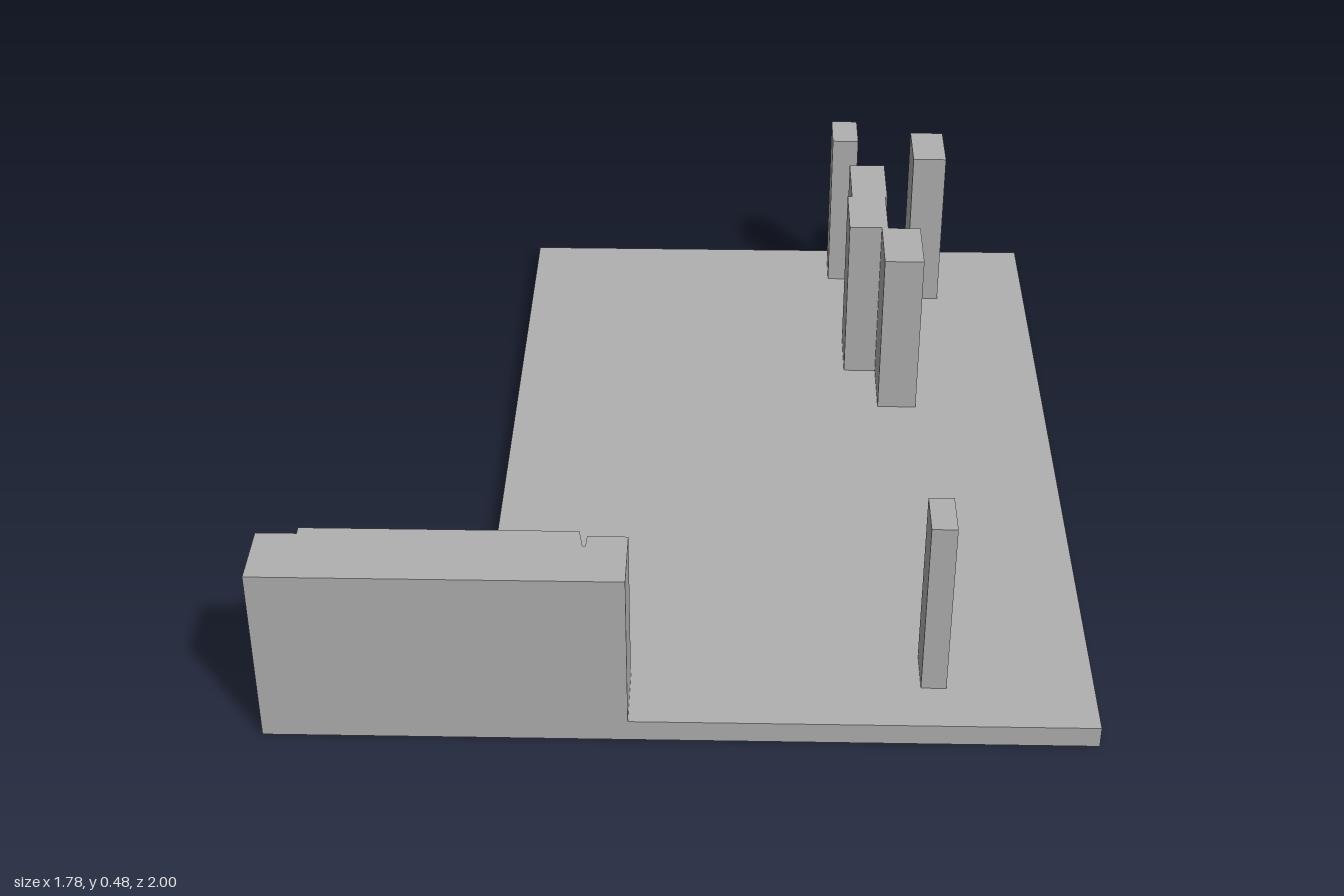
import * as THREE from 'three';

const grey = new THREE.MeshStandardMaterial({ color: 0xb0b0b0 });
grey.name = 'concrete grey';

// Floor-plan point (x, z) in shape space, so that extruding goes upward
const plan = (points) => points.map(([x, z]) => new THREE.Vector2(x, -z));
const rect = (x0, x1, z0, z1) => [[x0, z1], [x1, z1], [x1, z0], [x0, z0]];

// Raises a floor-plan outline, with optional holes, from y0 to y1
function prism(name, outline, y0, y1, holes = []) {
  const shape = new THREE.Shape(plan(outline));
  holes.forEach((h) => shape.holes.push(new THREE.Path(plan(h))));
  const geometry = new THREE.ExtrudeGeometry(shape, { depth: y1 - y0, bevelEnabled: false });
  geometry.rotateX(-Math.PI / 2).translate(0, y0, 0);
  const mesh = new THREE.Mesh(geometry, grey);
  mesh.name = name;
  return mesh;
}

export function createModel() {
  const model = new THREE.Group();
  model.name = 'floorSlabWithWalls';

  const ceiling = 0.038; // top of the recesses under the slab
  const floor = 0.05;
  const top = 0.475;
  const slab = rect(-0.445, 0.89, -1, 1);

  // Ribs under the slab: a frame around four recessed panels
  const panels = [];
  for (const [x0, x1] of [[-0.405, 0.43], [0.465, 0.85]]) {
    for (const [z0, z1] of [[-0.955, -0.02], [0.025, 0.95]]) panels.push(rect(x0, x1, z0, z1));
  }
  model.add(prism('ribFrame', slab, 0, ceiling, panels));
  model.add(prism('floorSlab', slab, ceiling, floor));

  // Thick front wall with stepped back and a narrow notch
  model.add(prism('frontWall', [
    [-0.89, 1], [-0.11, 1], [-0.11, 0.847], [-0.196, 0.847], [-0.198, 0.88],
    [-0.204, 0.88], [-0.213, 0.83], [-0.803, 0.83], [-0.803, 0.85], [-0.89, 0.85],
  ], 0, 0.423));

  // Free-standing columns
  const columns = {
    backColumn: [0.362, 0.429, -0.96, -0.845],
    sideColumn: [0.571, 0.656, -0.897, -0.746],
    frontColumn: [0.516, 0.571, 0.767, 0.878],
  };
  for (const [name, r] of Object.entries(columns)) model.add(prism(name, rect(...r), floor, top));

  // Row of three joined piers, each slightly offset
  model.add(prism('joinedPiers', [
    [0.402, -0.71], [0.492, -0.71], [0.492, -0.54], [0.487, -0.54], [0.487, -0.378],
    [0.567, -0.378], [0.567, -0.212], [0.471, -0.212], [0.471, -0.38],
    [0.391, -0.38], [0.391, -0.54], [0.402, -0.54],
  ], floor, top));

  return model;
}
